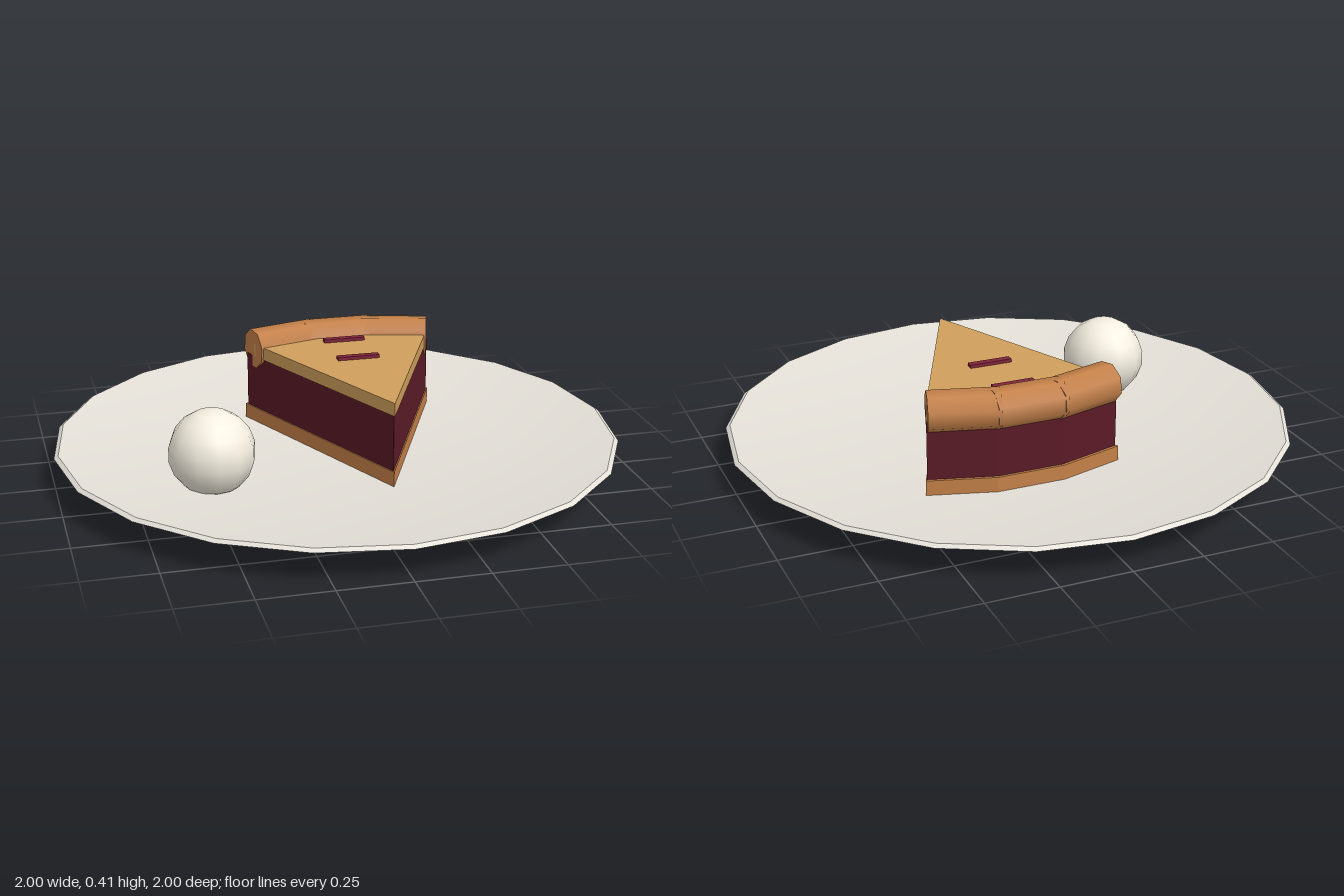
import * as THREE from 'three';
import { toCreasedNormals } from 'three/addons/utils/BufferGeometryUtils.js';

const material = (color) => new THREE.MeshStandardMaterial({ color });

function part(name, geometry, mat) {
  const mesh = new THREE.Mesh(geometry, mat);
  mesh.name = name;
  return mesh;
}

// Pie-slice prism: tip towards +z, three-sided curved back
function wedge(tipZ, radius, y0, y1, halfAngle = 0.423) {
  const shape = new THREE.Shape();
  shape.moveTo(0.1, -tipZ);
  for (let i = 0; i <= 3; i++) {
    const a = halfAngle * (1 - (2 * i) / 3);
    shape.lineTo(0.1 + radius * Math.sin(a), -tipZ + radius * Math.cos(a));
  }
  shape.closePath();
  const geometry = new THREE.ExtrudeGeometry(shape, { depth: y1 - y0, bevelEnabled: false });
  return geometry.rotateX(-Math.PI / 2).translate(0, y0, 0);
}

export function createModel() {
  const group = new THREE.Group();
  const china = material(0xe4e0d8);
  const pastry = material(0xd0a05c);
  const baked = material(0xc48048);
  const filling = material(0x5a1a26);
  const juice = material(0x802438);
  const cream = material(0xf4eee0);

  // Shallow plate with a flat well
  const profile = [[0, 0], [0.69, 0], [1, 0.11], [0.985, 0.12], [0.59, 0.062], [0, 0.062]]
    .map(([x, y]) => new THREE.Vector2(x, y));
  group.add(part('plate', toCreasedNormals(new THREE.LatheGeometry(profile, 20), 0.33), china));

  // Pie slice layers
  const slice = new THREE.Group();
  slice.name = 'pieSlice';
  slice.add(part('bottomCrust', wedge(0.41, 0.86, 0.062, 0.115), baked));
  slice.add(part('filling', wedge(0.4, 0.84, 0.115, 0.315), filling));
  slice.add(part('topCrust', wedge(0.41, 0.8, 0.315, 0.362), pastry));

  // Rolled edge: three overlapping dough rolls
  const path = [[-0.23, -0.33], [-0.01, -0.392], [0.21, -0.392], [0.43, -0.33]];
  for (let i = 0; i < 3; i++) {
    const a = new THREE.Vector3(path[i][0], 0.342, path[i][1]);
    const b = new THREE.Vector3(path[i + 1][0], 0.342, path[i + 1][1]);
    const dir = b.clone().sub(a).normalize();
    // Extend only the ends that meet a neighbour
    if (i > 0) a.addScaledVector(dir, -0.015);
    if (i < 2) b.addScaledVector(dir, 0.015);
    const geometry = new THREE.CylinderGeometry(0.073, 0.073, a.distanceTo(b), 8);
    geometry.rotateY(i === 1 ? Math.PI / 8 : 0);
    const roll = part('crustRoll', geometry, baked);
    roll.position.copy(a).lerp(b, 0.5);
    roll.quaternion.setFromUnitVectors(new THREE.Vector3(0, 1, 0), dir);
    slice.add(roll);
  }

  // Steam slits
  for (const z of [-0.28, -0.073]) {
    const slit = part('slit', new THREE.BoxGeometry(0.152, 0.02, 0.026), juice);
    slit.position.set(0.1, 0.364, z);
    slice.add(slit);
  }
  group.add(slice);

  // Scoop of cream
  const scoop = part('scoop', new THREE.SphereGeometry(0.15, 12, 9), cream);
  scoop.position.set(-0.49, 0.182, 0.24);
  group.add(scoop);

  return group;
}
